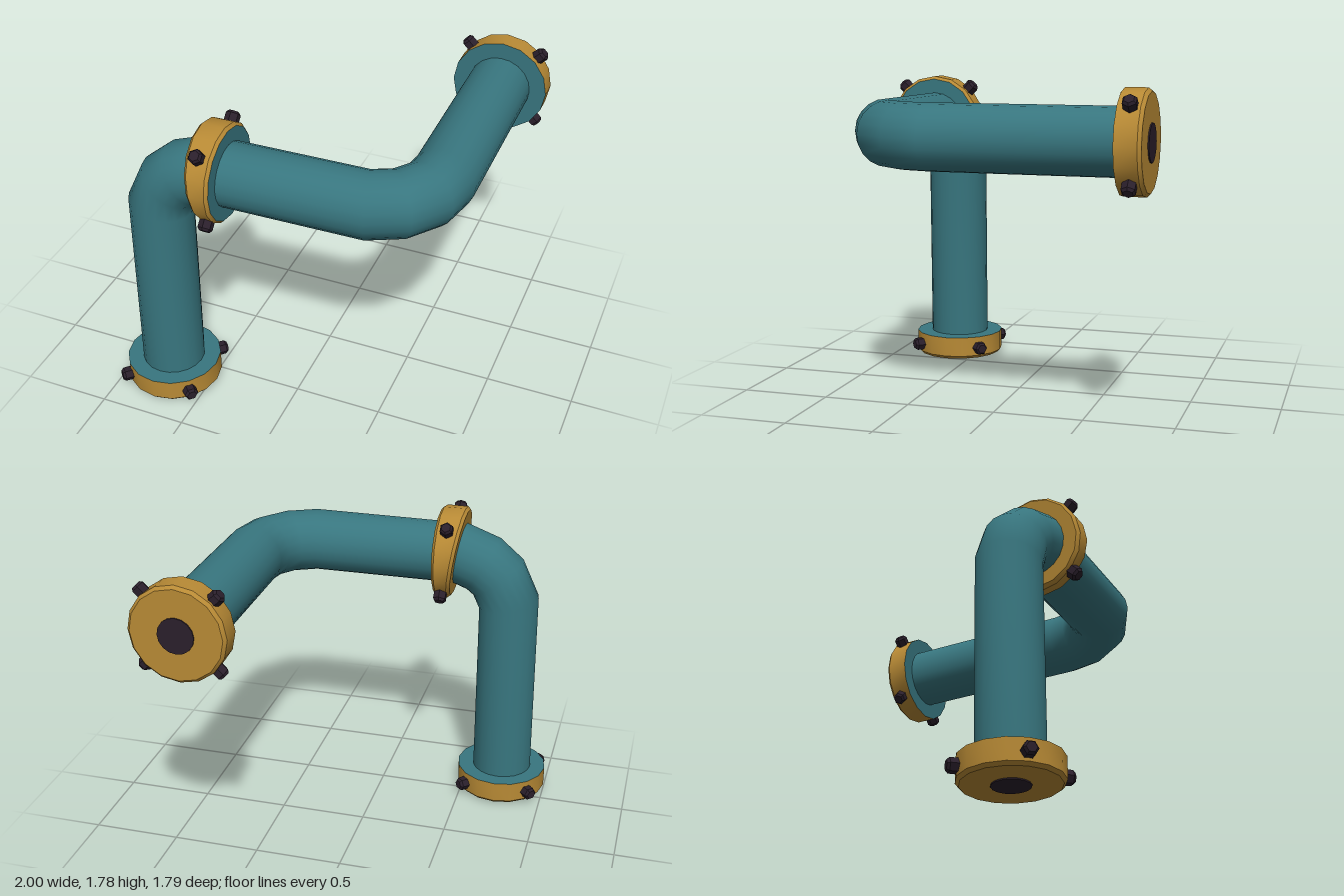
import * as THREE from 'three';
import { toCreasedNormals } from 'three/addons/utils/BufferGeometryUtils.js';

const material = (name, color) => {
  const m = new THREE.MeshStandardMaterial({ color });
  m.name = name;
  return m;
};

function addMesh(parent, name, geometry, mat) {
  const mesh = new THREE.Mesh(geometry, mat);
  mesh.name = name;
  parent.add(mesh);
  return mesh;
}

// Lathe around y from [radius, height] pairs, with sharp edges kept
function turned(points, sides, crease) {
  const profile = points.map(([r, y]) => new THREE.Vector2(r, y));
  return toCreasedNormals(new THREE.LatheGeometry(profile, sides), crease);
}

// Round pipe swept through a polyline, mitred at every corner
function sweptPipe(points, radius, sides) {
  const path = points.map((p) => new THREE.Vector3(...p));
  const positions = [], indices = [];
  const normal = new THREE.Vector3(0, 0, 1);
  let previous = null;
  path.forEach((p, i) => {
    const into = p.clone().sub(path[Math.max(i - 1, 0)]).normalize();
    const out = path[Math.min(i + 1, path.length - 1)].clone().sub(p).normalize();
    const tangent = into.add(out).normalize();
    if (previous) normal.applyQuaternion(new THREE.Quaternion().setFromUnitVectors(previous, tangent));
    previous = tangent;
    const binormal = tangent.clone().cross(normal);
    for (let j = 0; j < sides; j++) {
      const a = (j / sides) * Math.PI * 2;
      const v = p.clone()
        .addScaledVector(normal, Math.cos(a) * radius)
        .addScaledVector(binormal, Math.sin(a) * radius);
      positions.push(v.x, v.y, v.z);
      if (i === path.length - 1) continue;
      const k = i * sides + j, n = i * sides + ((j + 1) % sides);
      indices.push(k, n, k + sides, n, n + sides, k + sides);
    }
  });
  const g = new THREE.BufferGeometry();
  g.setAttribute('position', new THREE.Float32BufferAttribute(positions, 3));
  g.setIndex(indices);
  g.computeVertexNormals();
  return g;
}

export function createModel() {
  const teal = material('teal paint', 0x38767f);
  const gold = material('brass', 0xb88a35);
  const dark = material('dark iron', 0x2a1f2b);
  const model = new THREE.Group();
  model.name = 'bentPipe';

  // Pipe: riser, first elbow, cross run, second elbow, rear run
  addMesh(model, 'pipe', sweptPipe([
    [-0.732, 0.1, 0.623], [-0.72, 1.237, 0.623], [-0.65, 1.385, 0.623],
    [-0.56, 1.46, 0.623], [-0.42, 1.512, 0.623], [0.45, 1.515, 0.615],
    [0.595, 1.515, 0.545], [0.695, 1.515, 0.415], [0.728, 1.515, 0.26],
    [0.728, 1.515, -0.8],
  ], 0.178, 20), teal);

  const boltGeometry = turned([[0.04, 0], [0.04, 0.048], [0.028, 0.062], [0, 0.062]], 6, 0.3);
  const R = 0.27;

  // Flange: brass body from local y = 0, painted face at y = height
  function flange(name, height, faceRadius, slant) {
    const group = new THREE.Group();
    group.name = name;
    const profile = [[0, 0], [R - 0.017, 0], [R, 0.018], [R, height - (R - faceRadius)]];
    if (faceRadius < R) profile.push([faceRadius, height]);
    let body = turned(profile, 16, 0.55);
    if (slant) {
      // Tilt only the back face so the ring becomes a wedge
      const p = body.attributes.position;
      for (let i = 0; i < p.count; i++) {
        if (p.getY(i) < height / 2) p.setY(i, p.getY(i) + slant * (p.getX(i) + R));
      }
      body = toCreasedNormals(body, 0.55);
    }
    addMesh(group, 'flangeBody', body, gold);
    addMesh(group, 'flangeFace', turned([[faceRadius, height], [0, height]], 16, 0.5), teal);
    // Four hex bolts around the rim
    for (let i = 0; i < 4; i++) {
      const a = Math.PI / 4 + (i * Math.PI) / 2;
      const x = Math.cos(a) * R, z = -Math.sin(a) * R;
      const holder = new THREE.Group();
      holder.name = 'bolt';
      holder.rotation.y = a;
      holder.position.set(x * 0.96, (height + slant * (x + R)) / 2, z * 0.96);
      addMesh(holder, 'boltHead', boltGeometry, dark).rotation.z = -Math.PI / 2;
      group.add(holder);
    }
    model.add(group);
    return group;
  }

  // Dark bore on the open ends
  function addBore(group) {
    const bore = new THREE.CylinderGeometry(0.1, 0.1, 0.008, 16);
    addMesh(group, 'bore', bore, dark).position.y = -0.003;
  }

  const base = flange('baseFlange', 0.137, R, 0);
  base.position.set(-0.73, 0.008, 0.623);
  addBore(base);

  const rear = flange('rearFlange', 0.135, R, 0);
  rear.position.set(0.73, 1.515, -0.892);
  rear.rotation.x = Math.PI / 2;
  addBore(rear);

  const middle = flange('middleFlange', 0.16, 0.254, 0.14);
  middle.position.set(-0.46, 1.515, 0.623);
  middle.rotation.z = -Math.PI / 2;

  return model;
}
